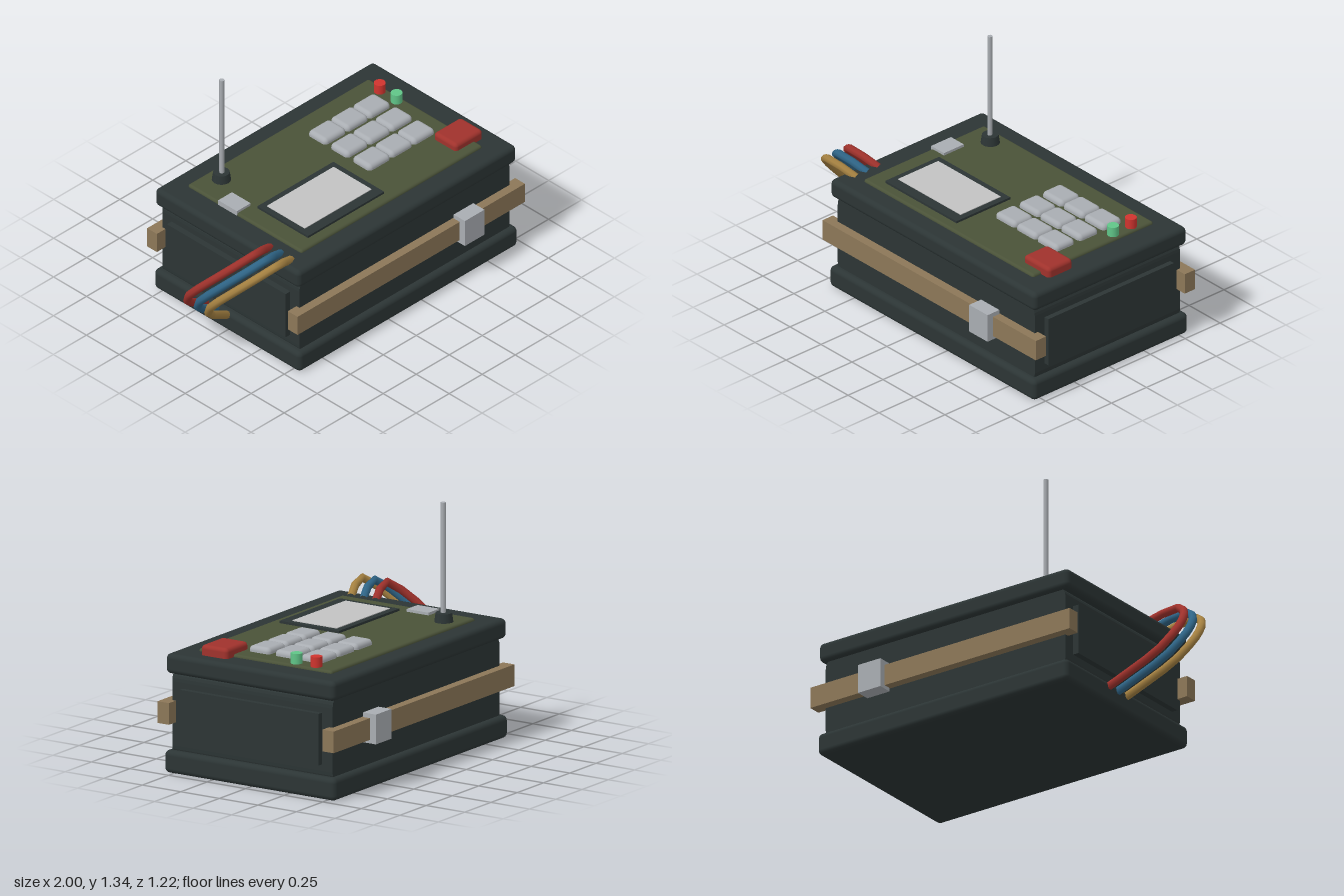
import * as THREE from 'three';
import { RoundedBoxGeometry } from 'three/addons/geometries/RoundedBoxGeometry.js';

const paint = (name, color) => {
  const m = new THREE.MeshStandardMaterial({ color });
  m.name = name;
  return m;
};

export function createModel() {
  const dark = paint('dark casing', 0x2c3535);
  const green = paint('olive panel', 0x4a5238);
  const tan = paint('tan strap', 0x8c7758);
  const silver = paint('silver', 0xa9adb2);
  const red = paint('brick red', 0xa0322c);
  const screenGrey = paint('screen grey', 0xc2c2c2);
  const lampRed = paint('lamp red', 0xd0342e);
  const lampGreen = paint('lamp green', 0x60c588);
  const gold = paint('gold wire', 0xa58141);
  const blue = paint('blue wire', 0x2f6587);

  const model = new THREE.Group();
  model.name = 'fieldDevice';
  const add = (name, geometry, material, x = 0, y = 0, z = 0) => {
    const mesh = new THREE.Mesh(geometry, material);
    mesh.name = name;
    mesh.position.set(x, y, z);
    model.add(mesh);
    return mesh;
  };
  // Box given by its limits on each axis; r rounds the edges
  const box = (name, material, [x0, x1], [y0, y1], [z0, z1], r = 0) => {
    const size = [x1 - x0, y1 - y0, z1 - z0];
    const geometry = r ? new RoundedBoxGeometry(...size, 3, r) : new THREE.BoxGeometry(...size);
    return add(name, geometry, material, (x0 + x1) / 2, (y0 + y1) / 2, (z0 + z1) / 2);
  };
  const rod = (name, material, x, z, y0, y1, rBottom, rTop = rBottom, sides = 20) =>
    add(name, new THREE.CylinderGeometry(rTop, rBottom, y1 - y0, sides), material, x, (y0 + y1) / 2, z);

  // Casing: base, lid and a body rounded along its long ends
  box('base', dark, [-0.69, 0.968], [0, 0.125], [-0.555, 0.555], 0.028);
  box('lid', dark, [-0.69, 0.965], [0.55, 0.66], [-0.548, 0.548], 0.028);
  const [l, r, b, t, c] = [-0.655, 0.935, 0.09, 0.565, 0.06];
  const outline = new THREE.Shape();
  outline.moveTo(l + c, b);
  outline.lineTo(r - c, b);
  outline.quadraticCurveTo(r, b, r, b + c);
  outline.lineTo(r, t - c);
  outline.quadraticCurveTo(r, t, r - c, t);
  outline.lineTo(l + c, t);
  outline.quadraticCurveTo(l, t, l, t - c);
  outline.lineTo(l, b + c);
  outline.quadraticCurveTo(l, b, l + c, b);
  add('body', new THREE.ExtrudeGeometry(outline, { depth: 1.04, bevelEnabled: false, curveSegments: 6 }), dark, 0, 0, -0.52);
  box('leftSidePanel', dark, [0.9, 0.965], [0.187, 0.473], [-0.45, 0.45]);
  box('rightSidePanel', dark, [-0.69, -0.62], [0.187, 0.473], [-0.45, 0.45]);

  // Straps and buckles, front and back
  for (const s of [1, -1]) {
    const side = s > 0 ? 'front' : 'back';
    const span = (a, d) => (s > 0 ? [a, d] : [-d, -a]);
    box(side + 'Strap', tan, [-0.72, 1], [0.28, 0.4], span(0.497, 0.571));
    box(side + 'Buckle', silver, [0.507, 0.655], [0.26, 0.425], span(0.525, 0.61));
  }

  // Control panel, screen and small plate
  box('controlPanel', green, [-0.55, 0.82], [0.64, 0.675], [-0.435, 0.43], 0.015);
  box('screenFrame', dark, [-0.44, 0.135], [0.65, 0.688], [-0.015, 0.37]);
  box('screen', screenGrey, [-0.405, 0.1], [0.684, 0.692], [0.022, 0.31]);
  box('smallPlate', silver, [-0.552, -0.448], [0.655, 0.69], [-0.2, -0.058]);

  // Three by three keypad
  for (let row = 0; row < 3; row++) {
    for (let col = 0; col < 3; col++) {
      const x = 0.302 + col * 0.168;
      const z = -0.23 + row * 0.168;
      box('key', silver, [x - 0.082, x + 0.082], [0.645, 0.708], [z - 0.069, z + 0.069], 0.025);
    }
  }

  // Button, lamps and antenna
  box('redButton', red, [0.675, 0.883], [0.64, 0.717], [0.2, 0.373], 0.022);
  rod('redLamp', lampRed, 0.778, -0.308, 0.66, 0.732, 0.032);
  rod('greenLamp', lampGreen, 0.778, -0.18, 0.66, 0.732, 0.032);
  rod('antennaBase', dark, -0.39, -0.338, 0.66, 0.725, 0.054, 0.045, 16);
  rod('antenna', silver, -0.39, -0.335, 0.7, 1.335, 0.014, 0.014, 10);

  // Cables looping from the lid down to the base
  const path = [
    [-0.62, 0.65, 0.42], [-0.7, 0.69, 0.45], [-0.79, 0.713, 0.472],
    [-0.88, 0.645, 0.41], [-0.95, 0.52, 0.29], [-0.975, 0.385, 0.165],
    [-0.92, 0.28, 0.1], [-0.79, 0.18, 0.045], [-0.64, 0.07, -0.02],
  ];
  [['goldCable', gold], ['blueCable', blue], ['redCable', red]].forEach(([name, material], i) => {
    const curve = new THREE.CatmullRomCurve3(path.map(([x, y, z]) => new THREE.Vector3(x, y, z - i * 0.08)));
    add(name, new THREE.TubeGeometry(curve, 12, 0.023, 8), material);
  });

  return model;
}
